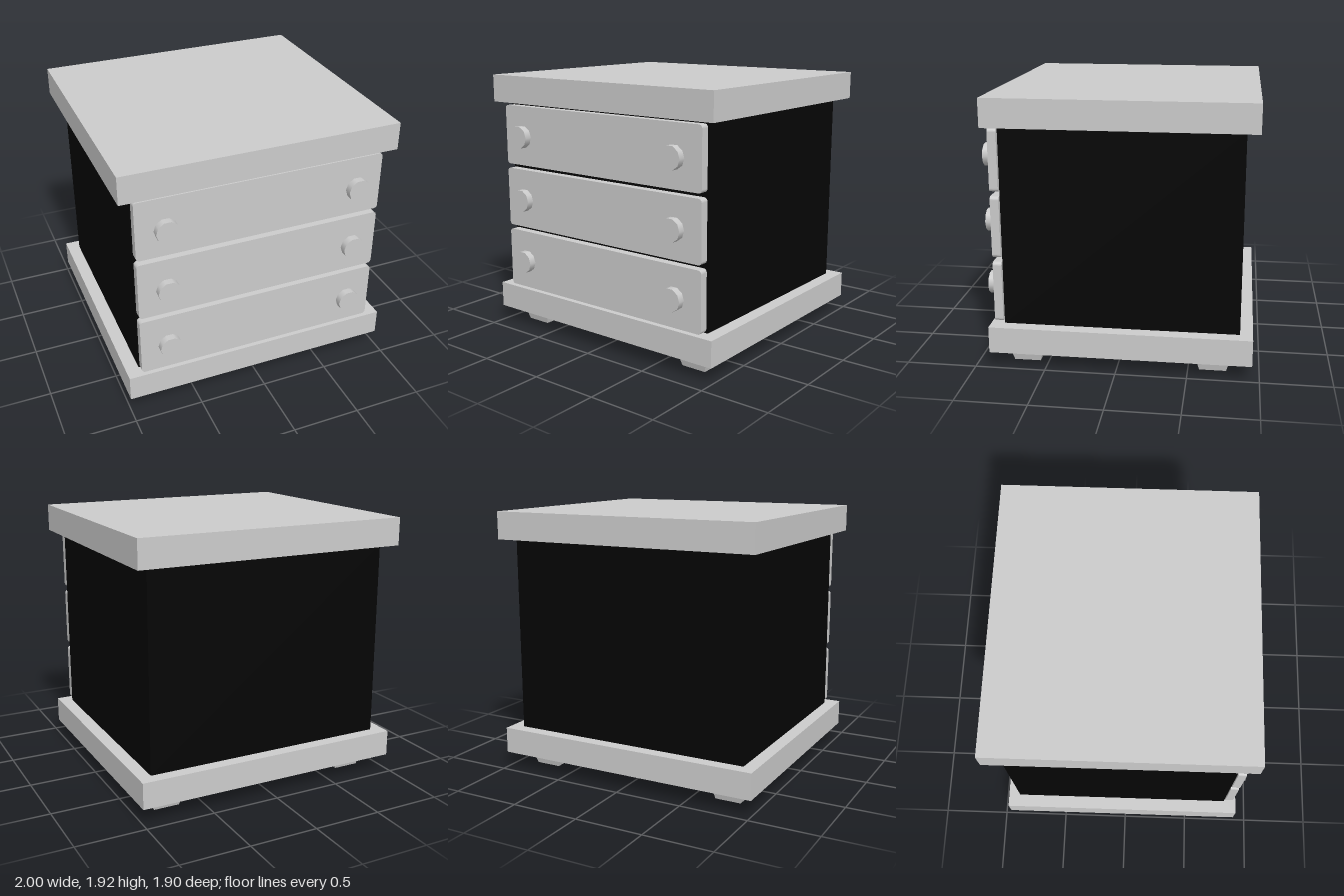
import * as THREE from 'three';

const grey = new THREE.MeshStandardMaterial({ color: 0xcccccc });
const black = new THREE.MeshStandardMaterial({ color: 0x050505 });

function add(parent, name, geometry, material = grey) {
  const mesh = new THREE.Mesh(geometry, material);
  mesh.name = name;
  parent.add(mesh);
  return mesh;
}

// Box given by its limits on each axis
function box(x0, x1, y0, y1, z0, z1) {
  return new THREE.BoxGeometry(x1 - x0, y1 - y0, z1 - z0)
    .translate((x0 + x1) / 2, (y0 + y1) / 2, (z0 + z1) / 2);
}

// Flat panel with rounded corners, centred on x and y, from z0 to z1
function roundedPanel(w, h, r, z0, z1) {
  const x = w / 2, y = h / 2;
  const s = new THREE.Shape();
  s.absarc(x - r, y - r, r, 0, Math.PI / 2);
  s.absarc(r - x, y - r, r, Math.PI / 2, Math.PI);
  s.absarc(r - x, r - y, r, Math.PI, Math.PI * 1.5);
  s.absarc(x - r, r - y, r, Math.PI * 1.5, Math.PI * 2);
  s.closePath();
  return new THREE.ExtrudeGeometry(s, { depth: z1 - z0, bevelEnabled: false, curveSegments: 4 })
    .translate(0, 0, z0);
}

// Ten-sided disc along z with corners pointing to the sides
function disc(r, z0, z1) {
  return new THREE.CylinderGeometry(r, r, z1 - z0, 10)
    .rotateY(Math.PI / 2).rotateX(Math.PI / 2).translate(0, 0, (z0 + z1) / 2);
}

// Square foot that narrows towards the floor
function footGeometry() {
  const g = new THREE.BoxGeometry(0.25, 0.115, 0.25).translate(0, 0.0575, 0);
  const p = g.attributes.position;
  for (let i = 0; i < p.count; i++) {
    if (p.getY(i) < 0.01) p.setXYZ(i, p.getX(i) * 0.76, 0, p.getZ(i) * 0.76);
  }
  g.computeVertexNormals();
  return g;
}

export function createModel() {
  const chest = new THREE.Group();
  chest.name = 'drawerChest';

  // Carcass between two overhanging slabs
  add(chest, 'topSlab', box(-1, 1, 1.722, 1.922, -0.947, 0.895));
  add(chest, 'baseSlab', box(-1, 1, 0.115, 0.305, -0.947, 0.895));
  add(chest, 'body', box(-0.905, 0.905, 0.305, 1.722, -0.858, 0.8), black);

  // Three drawers, each with two knobs
  for (const y of [0.534, 1.008, 1.482]) {
    const drawer = new THREE.Group();
    drawer.name = 'drawer';
    drawer.position.y = y;
    chest.add(drawer);
    add(drawer, 'drawerFront', roundedPanel(1.8, 0.44, 0.025, 0.811, 0.873));
    add(drawer, 'drawerBacking', box(-0.86, 0.86, -0.182, 0.182, 0.79, 0.812));
    for (const side of [-1, 1]) {
      const knob = new THREE.Group();
      knob.name = 'knob';
      knob.position.x = side * 0.698;
      drawer.add(knob);
      add(knob, 'knobStem', disc(0.039, 0.865, 0.899));
      add(knob, 'knobHead', disc(0.082, 0.898, 0.949));
    }
  }

  // Four tapered feet
  for (const x of [-0.755, 0.755]) {
    for (const z of [-0.675, 0.657]) {
      add(chest, 'foot', footGeometry()).position.set(x, 0, z);
    }
  }
  return chest;
}
